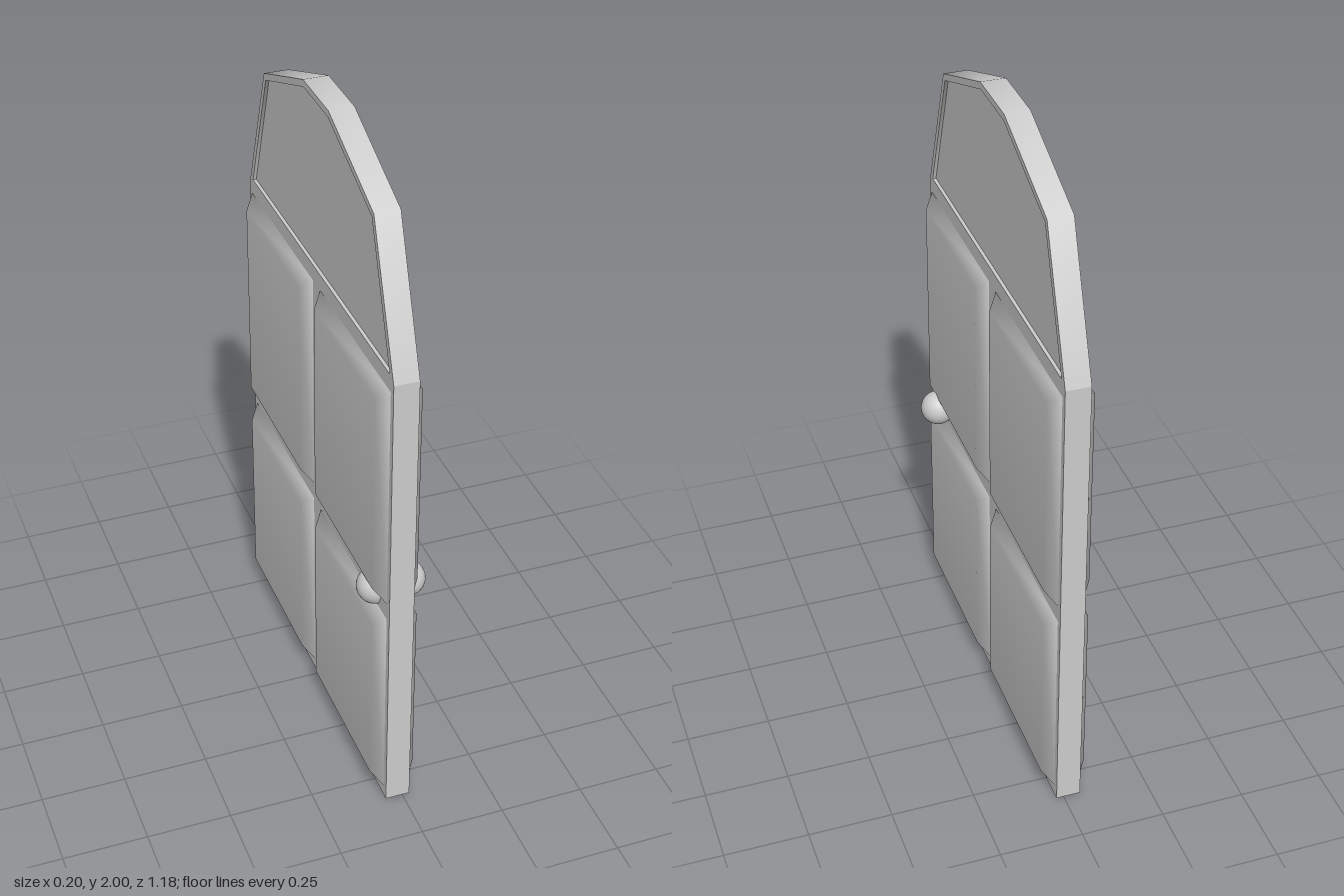
import * as THREE from 'three';
import { toCreasedNormals } from 'three/addons/utils/BufferGeometryUtils.js';

const BACK = -0.051, FRONT = 0.022; // x of the two slab faces
const THICK = FRONT - BACK, MID = (FRONT + BACK) / 2;
const material = new THREE.MeshStandardMaterial({ color: 0xcccccc });

function addMesh(parent, name, geometry) {
  const mesh = new THREE.Mesh(geometry, material);
  mesh.name = name;
  parent.add(mesh);
  return mesh;
}

// Raised panel with sloping edges, open at the back, rising along +z
function raisedPanel(width, height, rise, bevel) {
  const points = [];
  for (const [inset, z] of [[0, 0], [bevel, rise]]) {
    const w = width / 2 - inset, h = height / 2 - inset;
    points.push(-w, -h, z, w, -h, z, w, h, z, -w, h, z);
  }
  const index = [4, 5, 6, 4, 6, 7];
  for (let i = 0; i < 4; i++) {
    const j = (i + 1) % 4;
    index.push(i, j, j + 4, i, j + 4, i + 4);
  }
  const geometry = new THREE.BufferGeometry();
  geometry.setAttribute('position', new THREE.Float32BufferAttribute(points, 3));
  geometry.setIndex(index);
  geometry.computeVertexNormals();
  return geometry;
}

// Mirrored outline of the arched top, from its right half
function archPoints(half) {
  const mirrored = half.map(([x, y]) => [-x, y]).reverse();
  return [...half, ...mirrored].map(([x, y]) => new THREE.Vector2(x, y));
}

// Extrude an outline drawn in the door's plane, centred on the slab
function extrudeAcross(shape, depth) {
  const geometry = new THREE.ExtrudeGeometry(shape, { depth, bevelEnabled: false });
  geometry.rotateY(Math.PI / 2);
  geometry.translate(MID - depth / 2, 0, 0);
  return toCreasedNormals(geometry, 1.0);
}

export function createModel() {
  const door = new THREE.Group();
  door.name = 'door';

  // Flat lower slab
  const slab = addMesh(door, 'slab', new THREE.BoxGeometry(THICK, 1.45, 1.18));
  slab.position.set(MID, 0.725, 0);

  // Arched top: thin frame around a slightly recessed pane
  const outer = archPoints([[0.59, 1.45], [0.435, 1.87], [0.1, 2]]);
  const inner = archPoints([[0.56, 1.47], [0.42, 1.855], [0.095, 1.98]]);
  const frame = new THREE.Shape(outer);
  frame.holes.push(new THREE.Path(inner));
  addMesh(door, 'archFrame', extrudeAcross(frame, THICK));
  addMesh(door, 'archPane', extrudeAcross(new THREE.Shape(inner), THICK - 0.02));

  // Four raised panels and a round knob on each face
  const rows = [['lower', 0.035, 0.665], ['upper', 0.72, 1.42]];
  for (const side of [1, -1]) {
    const face = side > 0 ? FRONT : BACK;
    for (const [row, bottom, top] of rows) {
      for (const z of [-0.3, 0.3]) {
        const panel = addMesh(door, row + 'Panel', raisedPanel(0.54, top - bottom, 0.031, 0.036));
        panel.rotation.y = side * Math.PI / 2;
        panel.position.set(face, (bottom + top) / 2, z);
      }
    }
    const knob = addMesh(door, 'knob', new THREE.SphereGeometry(0.053, 24, 16));
    knob.position.set(side * 0.048, 0.71, 0.468);
  }
  return door;
}
